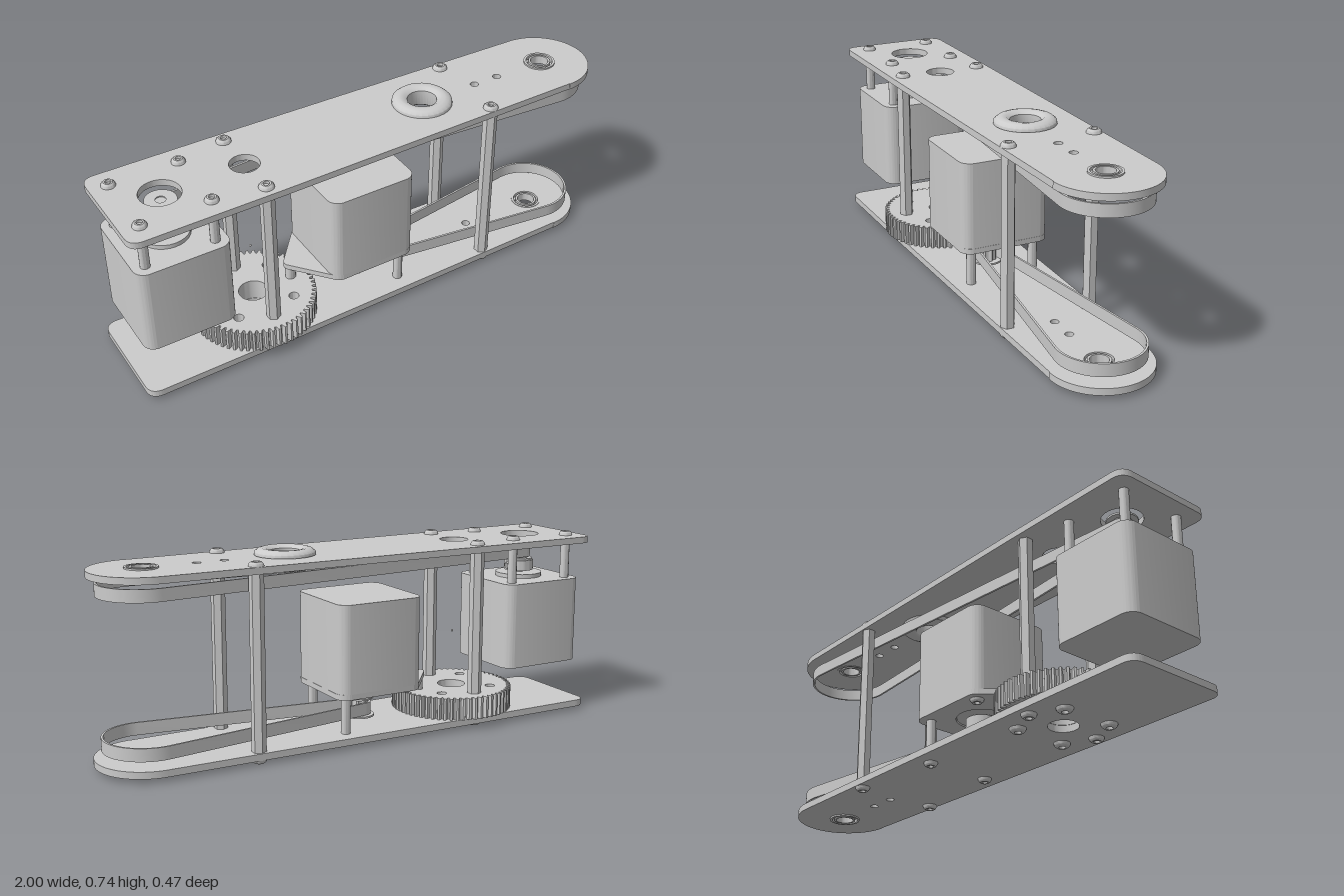
import * as THREE from 'three';
import { toCreasedNormals } from 'three/addons/utils/BufferGeometryUtils.js';

const mat = new THREE.MeshStandardMaterial({ color: 0xcccccc });

export function createModel() {
  const root = new THREE.Group();

  const add = (name, geo, x = 0, y = 0, z = 0) => {
    const mesh = new THREE.Mesh(geo, mat);
    mesh.name = name;
    mesh.position.set(x, y, z);
    root.add(mesh);
    return mesh;
  };

  // Upright solid from a plan shape, between two heights
  const slab = (name, shape, y0, y1, x = 0, z = 0) => {
    const geo = new THREE.ExtrudeGeometry(shape, { depth: y1 - y0, bevelEnabled: false, curveSegments: 24 });
    geo.rotateX(-Math.PI / 2);
    return add(name, toCreasedNormals(geo, 0.5), x, y0, z);
  };
  const cyl = (name, r, y0, y1, x, z = 0, sides = 28) => add(name,
    toCreasedNormals(new THREE.CylinderGeometry(r, r, y1 - y0, sides), 0.6), x, (y0 + y1) / 2, z);
  const hole = (shape, x, z, r) => shape.holes.push(new THREE.Path().absarc(x, -z, r, 0, Math.PI * 2, true));
  const ring = (outer, inner) => {
    const s = new THREE.Shape().absarc(0, 0, outer, 0, Math.PI * 2);
    hole(s, 0, 0, inner);
    return s;
  };

  // Outline wrapped tightly around two circles on the x axis
  const wrap = (path, x1, r1, x2, r2) => {
    const a = Math.acos((r1 - r2) / (x2 - x1));
    path.absarc(x2, 0, r2, -a, a);
    path.absarc(x1, 0, r1, a, Math.PI * 2 - a);
    path.closePath();
    return path;
  };

  // Domed screw head with hex socket; dir +1 faces up, -1 faces down
  const screw = (x, y, z, dir, r = 0.026) => {
    const pts = [[0, 0.006], [0.4, 0.006], [0.42, 0.016], [0.65, 0.016], [0.9, 0.01], [1, 0.003], [1, 0], [0, 0]]
      .map(([a, b]) => new THREE.Vector2(a * r, b)).reverse();
    const m = add('screwHead', toCreasedNormals(new THREE.LatheGeometry(pts, 18), 0.7), x, y, z);
    if (dir < 0) m.rotation.x = Math.PI;
  };

  // Plates
  const plateShape = () => {
    const s = new THREE.Shape();
    s.moveTo(-0.95, -0.21);
    s.lineTo(-0.45, -0.207);
    s.lineTo(0.81, -0.188);
    s.absarc(0.81, 0, 0.19, -Math.PI / 2, Math.PI / 2);
    s.lineTo(-0.45, 0.207);
    s.lineTo(-0.95, 0.21);
    s.quadraticCurveTo(-1, 0.21, -1, 0.16);
    s.lineTo(-1, -0.16);
    s.quadraticCurveTo(-1, -0.21, -0.95, -0.21);
    hole(s, -0.48, 0, 0.055);
    hole(s, 0.5, 0, 0.016);
    hole(s, 0.605, 0, 0.016);
    hole(s, 0.81, 0, 0.058);
    return s;
  };
  slab('bottomPlate', plateShape(), 0.02, 0.046);
  const top = plateShape();
  hole(top, -0.8, 0, 0.075);
  hole(top, 0.26, 0, 0.075);
  slab('topPlate', top, 0.69, 0.715);

  // End bearings with a ring of balls
  for (const [y0, y1] of [[0.014, 0.048], [0.688, 0.721]]) {
    slab('bearingOuterRing', ring(0.06, 0.051), y0, y1, 0.81);
    slab('bearingInnerRing', ring(0.042, 0.034), y0, y1, 0.81);
    for (let i = 0; i < 12; i++) {
      const a = i / 12 * Math.PI * 2;
      add('bearingBall', new THREE.SphereGeometry(0.0075, 10, 8),
        0.81 + 0.0465 * Math.cos(a), (y0 + y1) / 2, 0.0465 * Math.sin(a));
    }
  }

  // Cable grommet with a groove that grips the top plate
  const grommet = [[0.055, 0.672], [0.062, 0.665], [0.09, 0.665], [0.108, 0.672], [0.113, 0.688], [0.076, 0.69],
    [0.076, 0.715], [0.113, 0.717], [0.112, 0.728], [0.1, 0.738], [0.085, 0.742], [0.068, 0.74], [0.055, 0.73], [0.055, 0.672]];
  add('grommet', toCreasedNormals(new THREE.LatheGeometry(
    grommet.map(p => new THREE.Vector2(...p)), 32), 0.8), 0.26);

  // Hex standoffs, motor spacers and their screws
  for (const s of [-1, 1]) {
    for (const [x, z] of [[-0.48, 0.16], [0.455, 0.165]]) {
      cyl('standoff', 0.027, 0.046, 0.69, x, s * z, 6);
      screw(x, 0.715, s * z, 1, 0.028);
      screw(x, 0.02, s * z, -1, 0.028);
    }
    for (const x of [-0.93, -0.67]) {
      cyl('motorSpacer', 0.018, 0.545, 0.69, x, s * 0.13, 12);
      screw(x, 0.715, s * 0.13, 1);
    }
    cyl('motorSpacer', 0.018, 0.046, 0.186, 0.08, s * 0.13, 12);
    screw(0.08, 0.02, s * 0.13, -1);
    screw(-0.18, 0.186, s * 0.13, -1);
    for (const dx of [-0.115, 0.115]) screw(-0.48 + dx, 0.02, s * 0.105, -1, 0.03);
  }

  // Motors
  const h = 0.177, r = 0.045;
  const body = new THREE.Shape();
  body.absarc(h - r, h - r, r, 0, Math.PI / 2);
  body.absarc(r - h, h - r, r, Math.PI / 2, Math.PI);
  body.absarc(r - h, r - h, r, Math.PI, Math.PI * 1.5);
  body.absarc(h - r, r - h, r, Math.PI * 1.5, Math.PI * 2);
  body.closePath();

  // dir is the way the shaft points from the motor face
  const motor = (x, face, dir) => {
    const span = (a, b) => dir > 0 ? [face + a, face + b] : [face - b, face - a];
    slab('motorBody', body, ...span(-0.336, 0), x);
    cyl('motorPilot', 0.092, ...span(0, 0.016), x);
    cyl('motorShaft', 0.02, ...span(0, 0.135), x);
    slab('pulleyCollar', ring(0.058, 0.019), ...span(0.025, 0.066), x);
    slab('pulleyFlange', ring(0.052, 0.019), ...span(0.066, 0.073), x);
    slab('pulleyFlange', ring(0.057, 0.019), ...span(0.135, 0.142), x);
    const teeth = new THREE.Shape();
    for (let i = 0; i < 32; i++) {
      const a = i / 32 * Math.PI * 2, q = i % 4 < 2 ? 0.036 : 0.031;
      teeth[i ? 'lineTo' : 'moveTo'](q * Math.cos(a), q * Math.sin(a));
    }
    slab('pulleyTeeth', teeth, ...span(0.07, 0.138), x);
    const [c0, c1] = span(0.025, 0.066);
    const grub = add('setScrew', new THREE.TorusGeometry(0.011, 0.004, 8, 16), x + 0.057, (c0 + c1) / 2, 0);
    grub.rotation.y = Math.PI / 2;
  };
  motor(-0.8, 0.545, 1);
  motor(-0.053, 0.205, -1);

  // Drive belts
  const belt = (x, y0, y1) => {
    const s = wrap(new THREE.Shape(), x, 0.044, 0.81, 0.162);
    s.holes.push(wrap(new THREE.Path(), x, 0.036, 0.81, 0.154));
    slab('driveBelt', s, y0, y1);
  };
  belt(-0.8, 0.624, 0.67);
  belt(-0.053, 0.072, 0.12);

  // Swinging mount under the lower motor, with its pivot post
  const mount = new THREE.Shape();
  mount.absarc(0.08, 0.132, 0.045, 0, Math.PI / 2);
  mount.absarc(-0.185, 0.132, 0.045, Math.PI / 2, Math.PI * 0.8);
  mount.absarc(-0.32, 0, 0.025, Math.PI * 0.8, Math.PI * 1.2);
  mount.absarc(-0.185, -0.132, 0.045, Math.PI * 1.2, Math.PI * 1.5);
  mount.absarc(0.08, -0.132, 0.045, Math.PI * 1.5, Math.PI * 2);
  mount.closePath();
  hole(mount, -0.053, 0, 0.094);
  slab('motorMount', mount, 0.184, 0.205);
  cyl('mountPivot', 0.02, 0.13, 0.19, -0.32, 0, 16);

  // Large gear
  const gear = new THREE.Shape();
  const n = 60;
  for (let i = 0; i < n; i++) {
    [[0, 0.22], [0.2, 0.237], [0.55, 0.237], [0.75, 0.22]].forEach(([t, q], k) => {
      const a = (i + t) / n * Math.PI * 2;
      gear[i + k ? 'lineTo' : 'moveTo'](q * Math.cos(a), q * Math.sin(a));
    });
  }
  gear.closePath();
  hole(gear, 0, 0, 0.055);
  for (const sx of [-1, 1]) for (const sz of [-1, 1]) hole(gear, sx * 0.115, sz * 0.105, 0.019);
  slab('largeGear', gear, 0.047, 0.132, -0.48);

  // Small marker on the gear axis
  add('axisMarker', new THREE.SphereGeometry(0.005, 8, 6), -0.48, 0.35, 0);

  return root;
}
